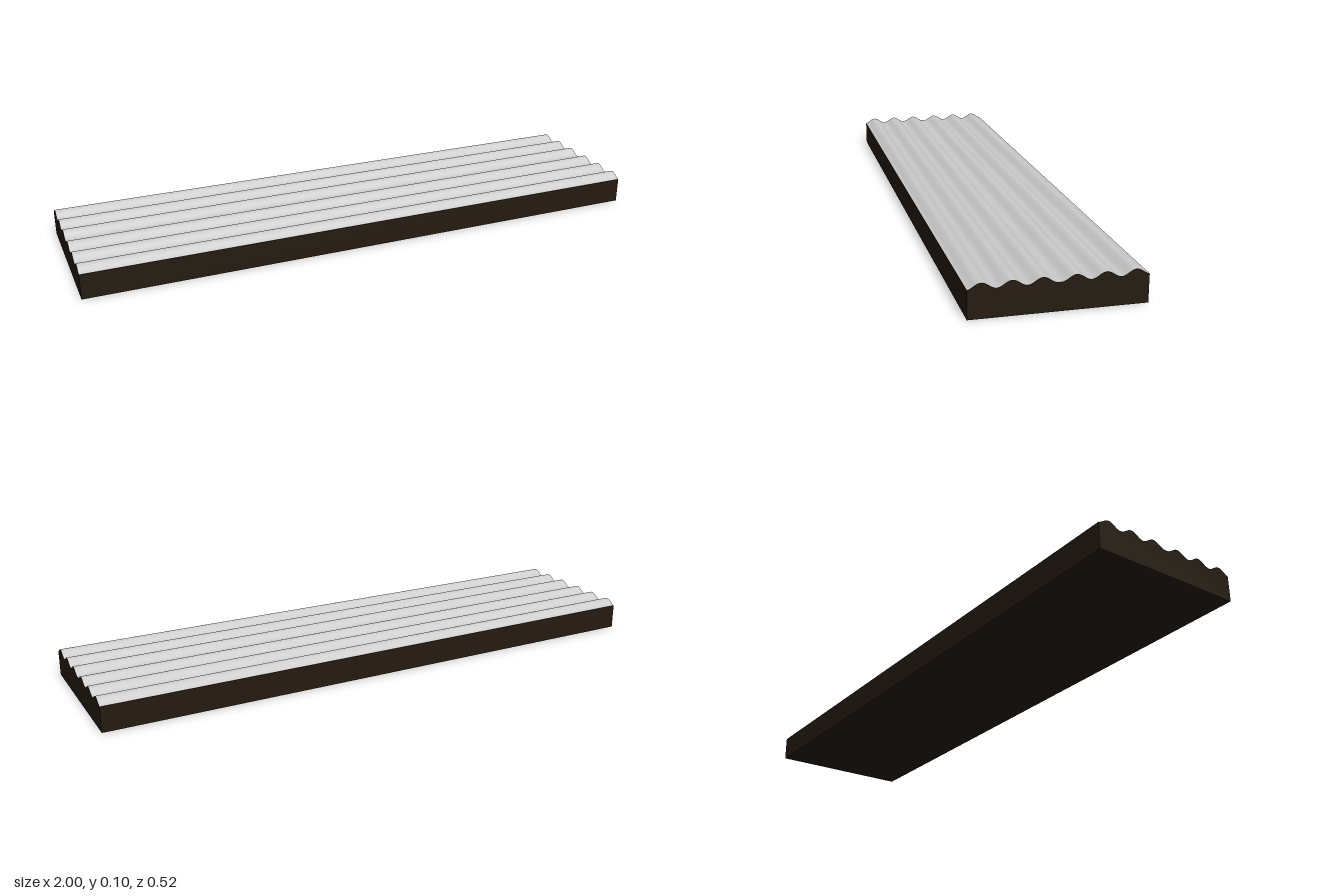
import * as THREE from 'three';

const LENGTH = 2, HALF_WIDTH = 0.261, STEPS = 120;
const VALLEY = 0.0865, RIDGE = 0.0185, PITCH = 0.087, MIDDLE_FLAT = 0.0045;

// Height of the ribbed surface across the width: three ridges on each side of a narrow flat
function ribHeight(z) {
  const d = Math.max(0, Math.abs(z) - MIDDLE_FLAT);
  return VALLEY + RIDGE * Math.sin((Math.PI * d) / PITCH) ** 2;
}

// Solid board with a wavy upper edge, just under the sheet
function createBoard() {
  const shape = new THREE.Shape();
  shape.moveTo(-HALF_WIDTH, 0);
  shape.lineTo(HALF_WIDTH, 0);
  for (let i = 0; i <= STEPS; i++) {
    const z = HALF_WIDTH * (1 - (2 * i) / STEPS);
    shape.lineTo(z, ribHeight(z) - 0.001);
  }
  shape.closePath();
  const geometry = new THREE.ExtrudeGeometry(shape, { depth: LENGTH, bevelEnabled: false });
  geometry.translate(0, 0, -LENGTH / 2);
  geometry.rotateY(Math.PI / 2);
  const board = new THREE.Mesh(geometry, new THREE.MeshStandardMaterial({ color: 0x241b10 }));
  board.name = 'board';
  return board;
}

// Smooth ribbed sheet covering the top
function createRibbedSheet() {
  const geometry = new THREE.PlaneGeometry(LENGTH, HALF_WIDTH * 2, 1, STEPS);
  geometry.rotateX(-Math.PI / 2);
  const p = geometry.attributes.position;
  for (let i = 0; i < p.count; i++) p.setY(i, ribHeight(p.getZ(i)));
  geometry.computeVertexNormals();
  const sheet = new THREE.Mesh(
    geometry,
    new THREE.MeshStandardMaterial({ color: 0xcccccc, side: THREE.DoubleSide })
  );
  sheet.name = 'ribbedSheet';
  return sheet;
}

export function createModel() {
  const group = new THREE.Group();
  group.name = 'ribbedPlank';
  group.add(createBoard(), createRibbedSheet());
  return group;
}
